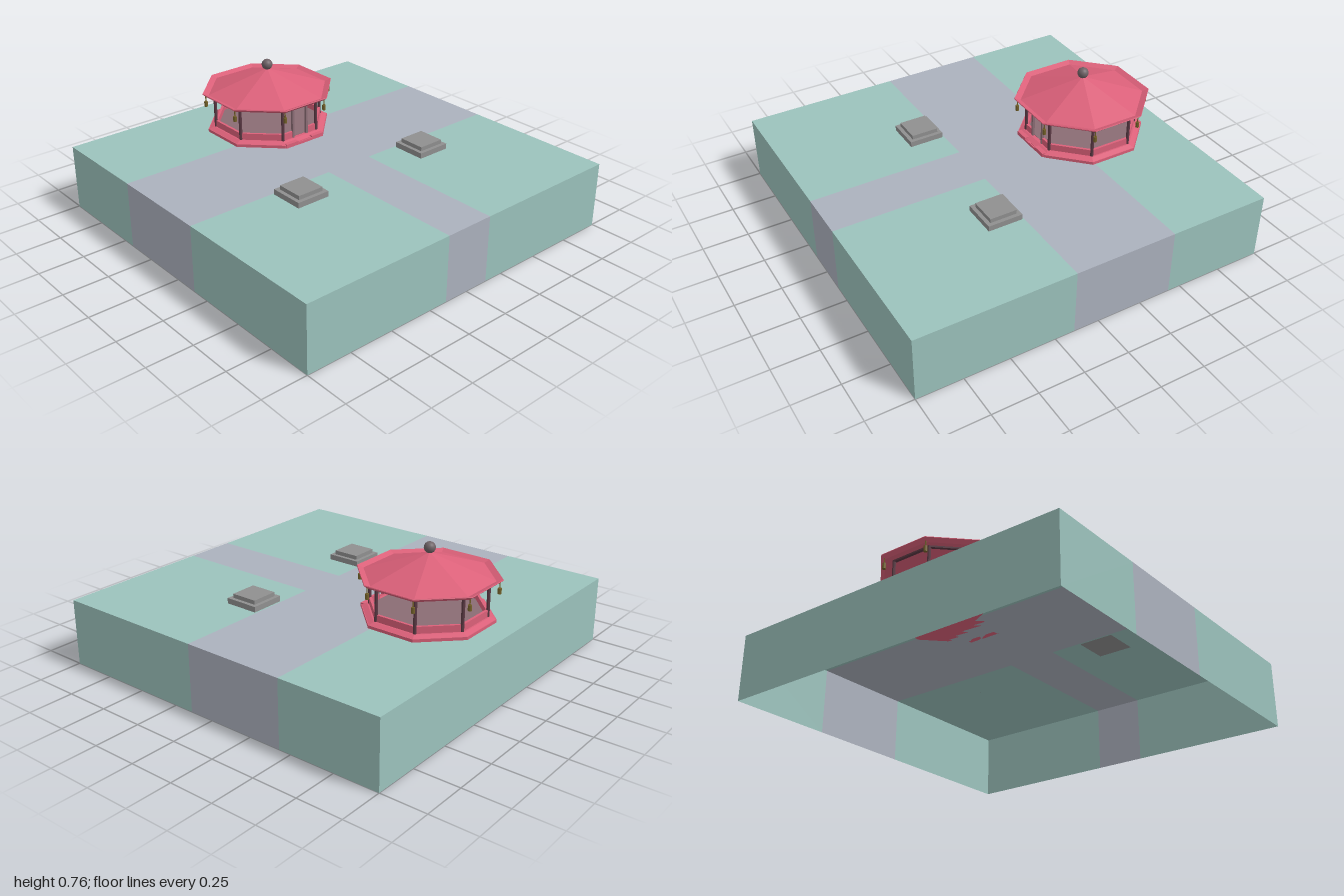
import * as THREE from 'three';

const mat = (color, extra = {}) => new THREE.MeshStandardMaterial({ color, ...extra });
const grass = mat(0x9bc2bc, { side: THREE.DoubleSide });
const paving = mat(0xabb1bd, { side: THREE.DoubleSide });
const pink = mat(0xdb6079, { flatShading: true, side: THREE.DoubleSide });
const wood = mat(0x5c3a45, { flatShading: true });
const floorMat = mat(0x8a6c74, { flatShading: true });
const stone = mat(0x8f8f8f);
const brass = mat(0x75622a);
const finialMat = mat(0x6e6266);

const GROUND = 0.365;
const C8 = Math.cos(Math.PI / 8);

function add(parent, name, geo, material, x = 0, y = 0, z = 0) {
  const m = new THREE.Mesh(geo, material);
  m.name = name;
  m.position.set(x, y, z);
  parent.add(m);
  return m;
}

// Octagonal slab with its flats facing the axes, sized by apothem
function octagon(parent, name, a0, a1, y0, y1, material) {
  const geo = new THREE.CylinderGeometry(a1 / C8, a0 / C8, y1 - y0, 8, 1, false, Math.PI / 8);
  return add(parent, name, geo, material, 0, (y0 + y1) / 2, 0);
}

// Hollow ground block, open underneath, with paths running over its edges
function makeGround() {
  const g = new THREE.Group();
  g.name = 'ground';
  const patch = (name, x0, x1, z0, z1, material) => {
    const geo = new THREE.PlaneGeometry(x1 - x0, z1 - z0).rotateX(-Math.PI / 2);
    add(g, name, geo, material, (x0 + x1) / 2, GROUND, (z0 + z1) / 2);
  };
  patch('lawnLeftOfPath', -1, -0.43, -1, 1, grass);
  patch('mainPath', -0.43, 0.14, -1, 1, paving);
  patch('lawnBack', 0.14, 1, -1, -0.14, grass);
  patch('sidePath', 0.14, 1, -0.14, 0.14, paving);
  patch('lawnFront', 0.14, 1, 0.14, 1, grass);

  // Each wall lists its strips along its own horizontal axis
  const wall = (name, angle, cuts) => {
    const w = new THREE.Group();
    w.name = name;
    w.rotation.y = angle;
    for (let i = 0; i < cuts.length - 1; i++) {
      const geo = new THREE.PlaneGeometry(cuts[i + 1] - cuts[i], GROUND);
      add(w, i === 1 ? 'pathEdge' : 'lawnEdge', geo, i === 1 ? paving : grass,
        (cuts[i] + cuts[i + 1]) / 2, GROUND / 2, 1);
    }
    g.add(w);
  };
  wall('frontWall', 0, [-1, -0.43, 0.14, 1]);
  wall('backWall', Math.PI, [-1, -0.14, 0.43, 1]);
  wall('pathSideWall', Math.PI / 2, [-1, -0.14, 0.14, 1]);
  wall('plainSideWall', -Math.PI / 2, [-1, 1]);
  return g;
}

function makePavilion() {
  const g = new THREE.Group();
  g.name = 'pavilion';
  g.position.x = -0.55;

  // Stepped plinth and floor
  octagon(g, 'plinth', 0.322, 0.322, GROUND, 0.381, pink);
  octagon(g, 'plinthTop', 0.318, 0.292, 0.381, 0.392, pink);
  octagon(g, 'floor', 0.272, 0.272, 0.385, 0.394, floorMat);

  const rail = (side, width, x) =>
    add(side, 'railing', new THREE.BoxGeometry(width, 0.037, 0.014), pink, x, 0.41, 0.277);

  for (let i = 0; i < 8; i++) {
    const side = new THREE.Group();
    side.name = 'side';
    side.rotation.y = i * Math.PI / 4;
    g.add(side);
    if (i === 2) {
      // Entrance with door posts and a step
      for (const s of [-1, 1]) {
        rail(side, 0.062, s * 0.083);
        add(side, 'doorPost', new THREE.BoxGeometry(0.012, 0.19, 0.014), floorMat, s * 0.047, 0.485, 0.28);
        add(side, 'stepCheek', new THREE.BoxGeometry(0.08, 0.022, 0.03), pink, s * 0.088, 0.376, 0.314);
      }
      add(side, 'step', new THREE.BoxGeometry(0.096, 0.014, 0.03), pink, 0, 0.372, 0.315);
    } else {
      rail(side, 0.226, 0);
    }
    add(side, 'beam', new THREE.BoxGeometry(0.232, 0.016, 0.016), wood, 0, 0.579, 0.28);

    // Column and hanging lantern on each corner
    const corner = new THREE.Group();
    corner.name = 'corner';
    corner.rotation.y = (i + 0.5) * Math.PI / 4;
    g.add(corner);
    add(corner, 'column', new THREE.CylinderGeometry(0.009, 0.009, 0.2, 8), wood, 0, 0.485, 0.303);
    add(corner, 'lanternCord', new THREE.CylinderGeometry(0.003, 0.003, 0.04, 6), brass, 0, 0.567, 0.355);
    add(corner, 'lantern', new THREE.CylinderGeometry(0.01, 0.01, 0.03, 8), brass, 0, 0.535, 0.355);
  }

  // Roof with an upturned eave, closed by a thin soffit
  const profile = [[0.275, 0.582], [0.325, 0.575], [0.345, 0.592], [0.343, 0.596], [0.312, 0.584], [0, 0.703]]
    .map(([a, y]) => new THREE.Vector2(a / C8, y));
  add(g, 'roof', new THREE.LatheGeometry(profile, 8, Math.PI / 8), pink);
  add(g, 'finial', new THREE.SphereGeometry(0.03, 20, 14), finialMat, 0, 0.727, 0);
  return g;
}

// Two-tier stone block
function makePedestal(z) {
  const g = new THREE.Group();
  g.name = 'pedestal';
  g.position.set(0.245, 0, z);
  add(g, 'lowerTier', new THREE.BoxGeometry(0.192, 0.03, 0.192), stone, 0, 0.38, 0);
  add(g, 'upperTier', new THREE.BoxGeometry(0.15, 0.025, 0.15), stone, 0, 0.405, 0);
  return g;
}

export function createModel() {
  const model = new THREE.Group();
  model.name = 'pavilionGarden';
  model.add(makeGround(), makePavilion(), makePedestal(-0.43), makePedestal(0.41));
  return model;
}
